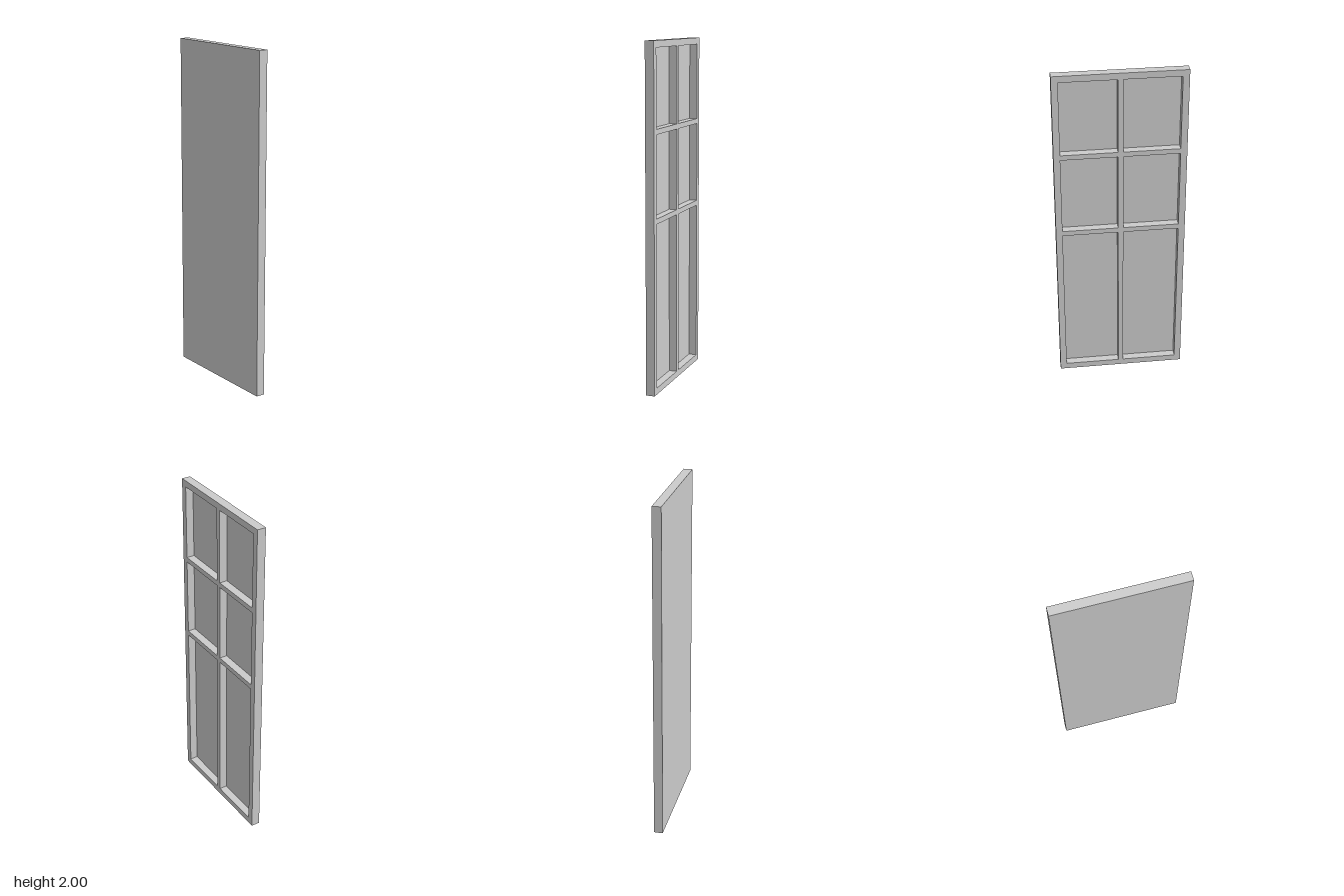
import * as THREE from 'three';

const W = 0.755, H = 2, D = 0.052, SKIN = 0.005;
const BORDER = 0.038, BAR = 0.03;

// Rectangle outline from two corners
function rect(target, x0, y0, x1, y1) {
  target.moveTo(x0, y0);
  target.lineTo(x1, y0);
  target.lineTo(x1, y1);
  target.lineTo(x0, y1);
  target.closePath();
  return target;
}

export function createModel() {
  const door = new THREE.Group();
  door.name = 'door';
  const material = new THREE.MeshStandardMaterial({ color: 0xcccccc });

  // Ribbed frame: two columns by three rows of openings, seen from the back
  const shape = rect(new THREE.Shape(), -W / 2, 0, W / 2, H);
  const columns = [[-W / 2 + BORDER, -BAR / 2], [BAR / 2, W / 2 - BORDER]];
  const rows = [[BORDER, 0.988], [0.988 + BAR, 1.488], [1.488 + BAR, H - BORDER]];
  for (const [x0, x1] of columns) {
    for (const [y0, y1] of rows) shape.holes.push(rect(new THREE.Path(), x0, y0, x1, y1));
  }
  const frame = new THREE.Mesh(
    new THREE.ExtrudeGeometry(shape, { depth: D - SKIN, bevelEnabled: false }), material);
  frame.name = 'backFrame';
  frame.position.z = -D / 2;
  door.add(frame);

  // Thin flat sheet closing the front
  const sheet = new THREE.Mesh(new THREE.BoxGeometry(W, H, SKIN), material);
  sheet.name = 'frontPanel';
  sheet.position.set(0, H / 2, D / 2 - SKIN / 2);
  door.add(sheet);

  return door;
}
